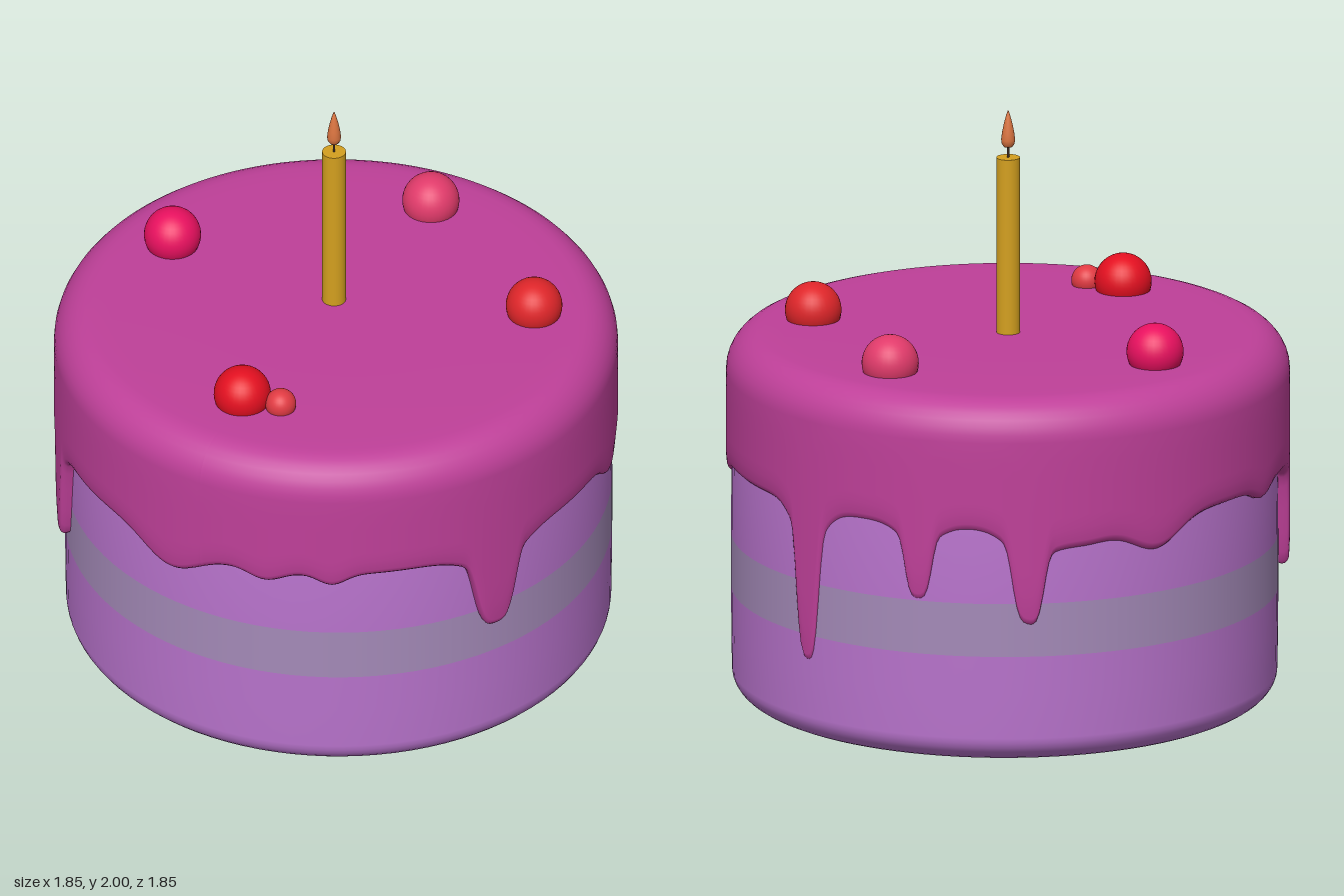
import * as THREE from 'three';

const mesh = (name, geometry, color, side = THREE.FrontSide) => {
  const m = new THREE.Mesh(geometry, new THREE.MeshStandardMaterial({ color, side }));
  m.name = name;
  return m;
};
const lathe = (points, segments = 96) =>
  new THREE.LatheGeometry(points.map(([r, y]) => new THREE.Vector2(r, y)), segments);

// Lower edge of the icing: shallow waves and long drips, [angle in degrees, depth, half width]
const WAVES = [
  [-7.5, 0.09, 9], [14, 0.04, 5], [28, 0.04, 4], [107, 0.09, 7], [125, 0.05, 7],
  [232, 0.06, 9], [249, 0.1, 8], [283, 0.04, 5],
];
const DRIPS = [
  [-52, 0.37, 3.3], [64, 0.31, 5.2], [171, 0.52, 3.4], [198, 0.25, 3.2], [221, 0.31, 3.6],
];
const BASE = 0.81;

function icingEdge(deg) {
  let y = BASE;
  const away = (a) => Math.abs(((deg - a + 540) % 360) - 180);
  for (const [a, d, w] of WAVES) y -= d * Math.exp(-((away(a) / w) ** 2));
  for (const [a, d, w] of DRIPS) {
    const t = away(a) / w;
    // flared root, then a narrow tongue with a round tip
    y -= 0.28 * d * Math.exp(-((t / 1.7) ** 2));
    y -= 0.72 * d * Math.exp(-(t ** 4));
  }
  return y;
}

// Icing skin: rings swept around the cake, the lower ones following the edge
function icingGeometry() {
  const SEG = 540;
  const top = [[0.001, 1.245], [0.4, 1.245], [0.74, 1.243]];
  for (let i = 0; i <= 8; i++) {
    const t = (i / 8) * Math.PI / 2;
    top.push([0.8 + 0.125 * Math.sin(t), 1.11 + 0.13 * Math.cos(t)]);
  }
  const wall = [0.2, 0.4, 0.6, 0.75, 0.88];            // share of the way down to the edge
  const lip = [[0.922, 0.025], [0.917, 0.01], [0.907, 0.001], [0.895, 0], [0.87, 0.01]];
  const rings = top.length + wall.length + lip.length;
  const pos = [], idx = [];
  for (let s = 0; s <= SEG; s++) {
    const deg = (s / SEG) * 360, a = deg * Math.PI / 180, edge = icingEdge(deg);
    const column = [
      ...top,
      ...wall.map((t) => [0.926, 1.11 + (edge + 0.03 - 1.11) * t]),
      ...lip.map(([r, h]) => [r, edge + h]),
    ];
    for (const [r, y] of column) pos.push(r * Math.sin(a), y, r * Math.cos(a));
  }
  for (let s = 0; s < SEG; s++) {
    for (let k = 0; k < rings - 1; k++) {
      const a = s * rings + k, b = a + rings;
      idx.push(a, a + 1, b, b, a + 1, b + 1);
    }
  }
  const g = new THREE.BufferGeometry();
  g.setAttribute('position', new THREE.Float32BufferAttribute(pos, 3));
  g.setIndex(idx);
  g.computeVertexNormals();
  return g;
}

export function createModel() {
  const model = new THREE.Group();
  model.name = 'birthdayCake';

  // Sponge: rounded foot, cream band, upper layer
  const sponge = new THREE.Group();
  sponge.name = 'sponge';
  sponge.position.z = -0.018;
  const foot = [[0.001, 0], [0.5, 0.002], [0.74, 0.008]];
  for (let i = 0; i <= 8; i++) {
    const t = (i / 8) * Math.PI / 2;
    foot.push([0.785 + 0.11 * Math.sin(t), 0.1 - 0.09 * Math.cos(t)]);
  }
  foot.push([0.897, 0.25], [0.898, 0.38]);
  sponge.add(
    mesh('lowerSponge', lathe(foot), 0xb873cc),
    mesh('creamBand', lathe([[0.898, 0.38], [0.898, 0.56]]), 0xa48ab8),
    mesh('upperSponge', lathe([[0.898, 0.56], [0.896, 0.9], [0.86, 1.1], [0.001, 1.12]]), 0xb873cc),
  );
  model.add(sponge);

  model.add(mesh('icing', icingGeometry(), 0xbf4099, THREE.DoubleSide));

  // Berries half sunk in the icing: [x, y, z, radius, color]
  const berries = new THREE.Group();
  berries.name = 'berries';
  [
    [-0.64, 1.285, -0.05, 0.094, 0xe8105f],
    [-0.015, 1.272, 0.61, 0.094, 0xe30f20],
    [0.585, 1.275, -0.285, 0.093, 0xde2529],
    [0, 1.272, -0.645, 0.094, 0xe03a6a],
    [0.115, 1.26, 0.585, 0.051, 0xe03a42],
  ].forEach(([x, y, z, r, color], i) => {
    const b = mesh(`berry${i + 1}`, new THREE.SphereGeometry(r, 32, 20), color);
    b.position.set(x, y, z);
    berries.add(b);
  });
  model.add(berries);

  // Candle with wick and teardrop flame
  const candle = new THREE.Group();
  candle.name = 'candle';
  candle.position.set(-0.026, 0, -0.034);
  const stick = mesh('candleStick', new THREE.CylinderGeometry(0.039, 0.039, 0.64, 32), 0xd4a01f);
  stick.position.y = 1.52;
  const wick = mesh('wick', new THREE.CylinderGeometry(0.004, 0.004, 0.06, 8), 0x4a3428);
  wick.position.y = 1.86;
  const flame = mesh('flame', lathe([
    [0.001, 1.874], [0.014, 1.876], [0.021, 1.886], [0.023, 1.9], [0.02, 1.925],
    [0.014, 1.955], [0.007, 1.982], [0.001, 2],
  ], 24), 0xd8733f);
  candle.add(stick, wick, flame);
  model.add(candle);

  return model;
}
